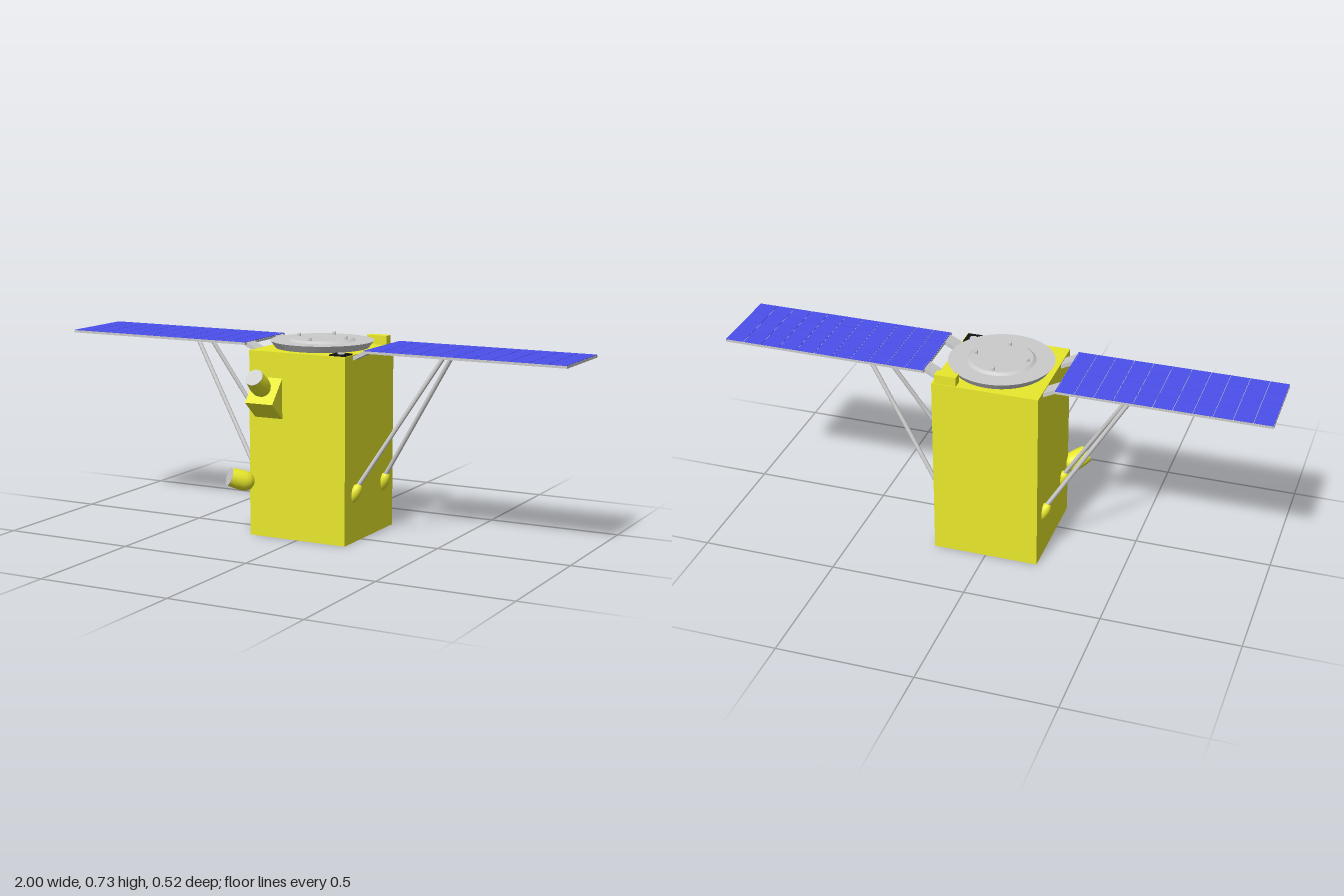
import * as THREE from 'three';
import { mergeGeometries } from 'three/addons/utils/BufferGeometryUtils.js';

const mat = (color) => new THREE.MeshStandardMaterial({ color });
const GREY = mat(0xcccccc), YELLOW = mat(0xe8e82c), BLUE = mat(0x4a50ec), BLACK = mat(0x111111);
const UP = new THREE.Vector3(0, 1, 0);
const CZ = -0.0625; // z of the body axis
const V = (x, y, z) => new THREE.Vector3(x, y, z);

function add(parent, name, geometry, material, x = 0, y = 0, z = 0) {
  const mesh = new THREE.Mesh(geometry, material);
  mesh.name = name;
  mesh.position.set(x, y, z);
  parent.add(mesh);
  return mesh;
}

// Box given by its limits on each axis
function block(parent, name, material, [x0, x1], [y0, y1], [z0, z1]) {
  return add(parent, name, new THREE.BoxGeometry(x1 - x0, y1 - y0, z1 - z0), material,
    (x0 + x1) / 2, (y0 + y1) / 2, (z0 + z1) / 2);
}

const lathe = (points, segments) =>
  new THREE.LatheGeometry(points.map(([r, y]) => new THREE.Vector2(r, y)), segments);

// Barrel with a rounded base and a flat grey lens, pointing along dir
function sensor(parent, name, base, dir) {
  const group = new THREE.Group();
  group.name = name;
  group.position.copy(base);
  group.quaternion.setFromUnitVectors(UP, dir.clone().normalize());
  add(group, 'barrel', lathe([[0, 0], [0.016, 0.002], [0.028, 0.01], [0.035, 0.024],
    [0.0375, 0.042], [0.036, 0.07], [0.033, 0.094]], 32), YELLOW);
  add(group, 'lens', new THREE.CylinderGeometry(0.033, 0.033, 0.004, 32), GREY, 0, 0.094, 0);
  parent.add(group);
}

// Solar wing on the side given by s (+1 or -1)
function wing(s) {
  const group = new THREE.Group();
  group.name = s > 0 ? 'leftWing' : 'rightWing';
  const x0 = 0.24, x1 = 1, z0 = -0.215, z1 = 0.085;
  const cx = s * (x0 + x1) / 2, cz = (z0 + z1) / 2;
  add(group, 'panel', new THREE.BoxGeometry(x1 - x0, 0.009, z1 - z0), GREY, cx, 0.6995, cz);

  // solar cells separated by narrow gaps
  const cols = 11, rows = 4, gap = 0.002;
  const w = (x1 - x0) / cols, d = (z1 - z0) / rows;
  const cells = [];
  for (let i = 0; i < cols; i++) {
    for (let j = 0; j < rows; j++) {
      cells.push(new THREE.BoxGeometry(w - gap, 0.002, d - gap)
        .translate(s * (x0 + (i + 0.5) * w), 0.7045, z0 + (j + 0.5) * d));
    }
  }
  add(group, 'solarCells', mergeGeometries(cells), BLUE);

  // sloping hinge arms between body and panel
  for (const z of [0.045, -0.17]) {
    const arm = add(group, 'hingeArm', new THREE.BoxGeometry(0.07, 0.014, 0.057), GREY,
      s * 0.217, 0.684, z);
    arm.rotation.z = s * 0.46;
  }

  // struts with teardrop feet on the body wall
  for (const [zTop, zFoot] of [[-0.021, 0.052], [-0.103, -0.175]]) {
    const top = V(s * 0.51, 0.695, zTop), foot = V(s * 0.205, 0.205, zFoot);
    const axis = top.clone().sub(foot);
    const length = axis.length();
    axis.normalize();
    const mid = top.clone().add(foot).multiplyScalar(0.5);
    const strut = add(group, 'strut', new THREE.CylinderGeometry(0.008, 0.008, length, 16), GREY,
      mid.x, mid.y, mid.z);
    strut.quaternion.setFromUnitVectors(UP, axis);
    const end = add(group, 'strutFoot', new THREE.SphereGeometry(1, 24, 16), YELLOW,
      s * 0.192, 0.177, zFoot + (zFoot > CZ ? 0.005 : -0.005));
    end.scale.set(0.023, 0.045, 0.023);
    end.quaternion.copy(strut.quaternion);
  }
  return group;
}

export function createModel() {
  const model = new THREE.Group();
  model.name = 'satellite';

  block(model, 'body', YELLOW, [-0.195, 0.195], [0, 0.685], [-0.258, 0.133]);

  // dish: shallow pan, raised centre and four studs
  const dish = new THREE.Group();
  dish.name = 'dish';
  dish.position.set(0, 0, CZ);
  add(dish, 'pan', new THREE.CylinderGeometry(0.19, 0.172, 0.025, 64), GREY, 0, 0.6995, 0);
  add(dish, 'raisedCentre', new THREE.CylinderGeometry(0.112, 0.124, 0.009, 64), GREY, 0, 0.7155, 0);
  const stud = lathe([[0.0065, 0], [0.0065, 0.009], [0.0045, 0.012], [0, 0.0135]], 16);
  for (let i = 0; i < 4; i++) {
    const a = i * Math.PI / 2;
    add(dish, 'stud', stud, GREY, 0.096 * Math.cos(a), 0.72, 0.096 * Math.sin(a));
  }
  model.add(dish);

  // small units on the roof
  block(model, 'roofBox', YELLOW, [0.105, 0.185], [0.684, 0.719], [-0.255, -0.22]);
  block(model, 'roofPlate', BLACK, [0.128, 0.19], [0.684, 0.69], [0.065, 0.127]);
  add(model, 'roofSensor', new THREE.CylinderGeometry(0.014, 0.014, 0.005, 24), GREY, 0.159, 0.691, 0.093);

  // wedge mount and upward-looking sensor on the front
  const wedge = new THREE.Shape([[0.12, 0.606], [0.207, 0.505], [0.12, 0.432]]
    .map(([z, y]) => new THREE.Vector2(-z, y)));
  const mount = add(model, 'sensorMount',
    new THREE.ExtrudeGeometry(wedge, { depth: 0.112, bevelEnabled: false }), YELLOW, -0.059, 0, 0);
  mount.rotation.y = Math.PI / 2;
  mount.position.x = -0.171;
  sensor(model, 'upperSensor', V(-0.115, 0.543, 0.164), V(0, 0.646, 0.763));

  // corner sensor low on the front right
  sensor(model, 'lowerSensor', V(-0.187, 0.192, 0.122), V(-0.64, 0.3, 0.65));

  model.add(wing(1), wing(-1));
  return model;
}
